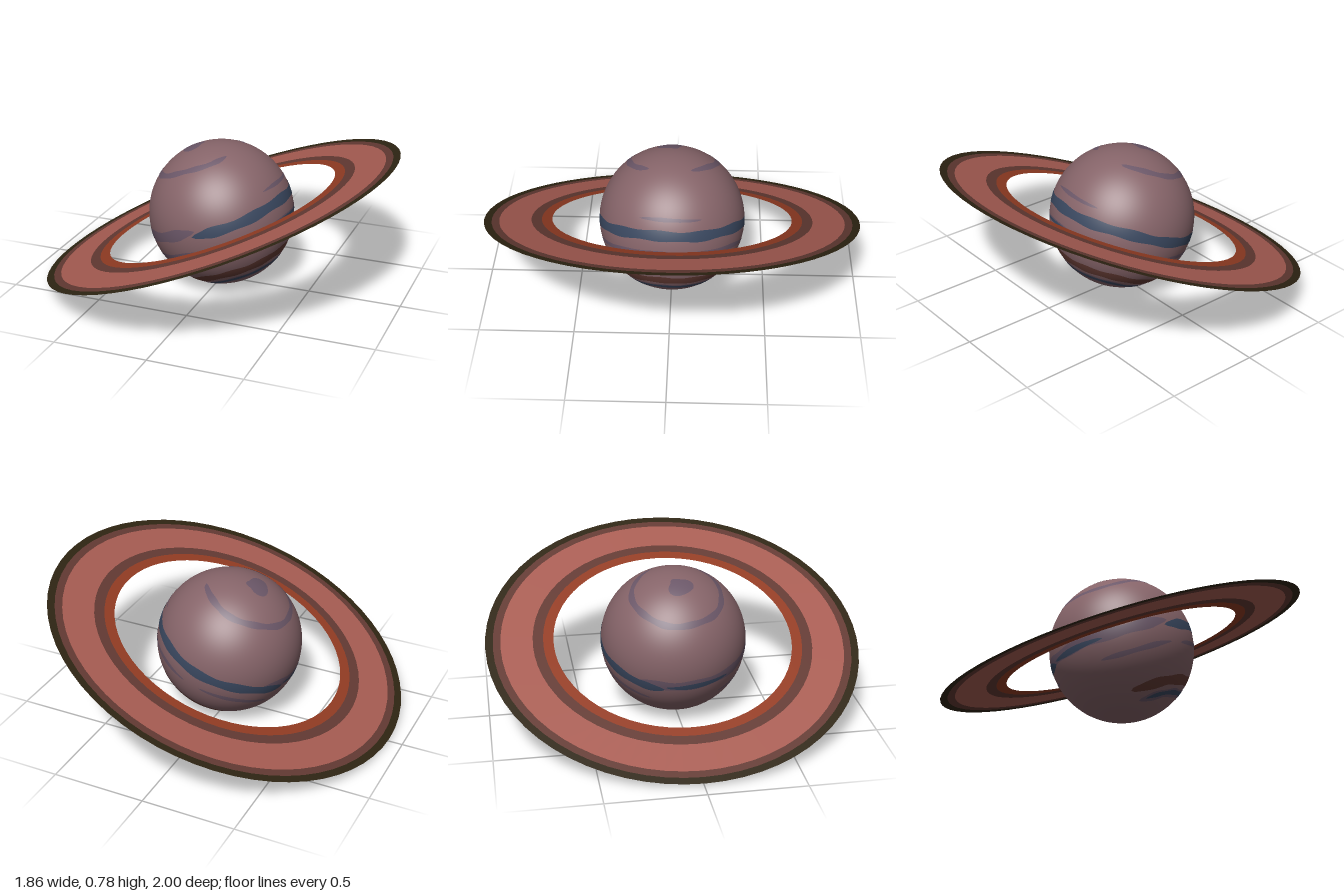
import * as THREE from 'three';

const R = 0.388;
const TILT = THREE.MathUtils.degToRad(21.5);

function material(name, color) {
  const m = new THREE.MeshStandardMaterial({ color, side: THREE.DoubleSide });
  m.name = name;
  return m;
}

// Cloud band on the sphere between two latitudes. Longitude runs from +x (0) towards +z (90),
// given from high to low. The edges waver a little and the ends taper.
function bandGeometry(latTop, latBottom, from, to, lift, edge) {
  const span = from - to;
  const geo = new THREE.PlaneGeometry(1, 1, Math.ceil(span / 3), 4);
  const pos = geo.attributes.position;
  const p = new THREE.Vector3();
  for (let i = 0; i < pos.count; i++) {
    const u = pos.getX(i) + 0.5, v = pos.getY(i) + 0.5;
    const lon = from - span * u;
    const a = THREE.MathUtils.degToRad(lon);
    let lat;
    if (edge) {
      lat = THREE.MathUtils.lerp(edge(a), latTop, v);
    } else {
      const end = Math.min(from - lon, lon - to);
      const taper = span >= 360 ? 1 : Math.sqrt(Math.min(1, end / 16));
      const mid = (latTop + latBottom) / 2 + 0.5 * Math.sin(a * 5);
      const half = (latTop - latBottom) / 2 * taper * (1 + 0.12 * Math.sin(a * 11));
      lat = mid + half * (2 * v - 1);
    }
    const t = THREE.MathUtils.degToRad(lat);
    p.set(Math.cos(t) * Math.cos(a), Math.sin(t), Math.cos(t) * Math.sin(a));
    geo.attributes.normal.setXYZ(i, p.x, p.y, p.z);
    p.multiplyScalar(R + lift);
    pos.setXYZ(i, p.x, p.y, p.z);
  }
  return geo;
}

export function createModel() {
  const mauve = material('mauve', 0x866469);
  const purple = material('dusty purple', 0x6b5768);
  const blue = material('slate blue', 0x3a4860);
  const brown = material('dark brown', 0x633a33);
  const salmon = material('salmon', 0xa85d53);
  const rust = material('rust', 0x933c23);
  const olive = material('dark olive', 0x2f2513);

  const model = new THREE.Group();
  model.name = 'ringedPlanet';
  const tilted = new THREE.Group();
  tilted.name = 'tiltedPlanet';
  tilted.position.y = R;
  tilted.rotation.z = TILT;
  model.add(tilted);

  const add = (name, geo, mat) => {
    const mesh = new THREE.Mesh(geo, mat);
    mesh.name = name;
    tilted.add(mesh);
  };

  // Globe
  add('globe', new THREE.SphereGeometry(R, 96, 64), mauve);

  // Cloud bands: name, top and bottom latitude, longitude from and to, material, lift
  const bands = [
    ['northArc', 55.5, 50.5, 335, 30, purple, 0.001],
    ['upperStreak', 14.5, 11.5, 25, -25, purple, 0.001],
    ['equatorHaze', 8.5, 0, 215, 88, purple, 0.001],
    ['equatorBand', 4.5, -3.5, 92, -165, blue, 0.0015],
    ['equatorBandEnd', 5, 0.5, 195, 143, blue, 0.0015],
    ['lowerStreak', -12, -16, 78, -82, purple, 0.001],
    ['lowerStreakCore', -13, -15.5, 38, -38, blue, 0.0015],
    ['lowerStreakFront', -11, -15, 150, 88, purple, 0.001],
    ['lowerStreakBack', -11, -15, 265, 205, purple, 0.001],
    ['southBand', -39, -47.5, 135, -130, brown, 0.001],
    ['southHaze', -51, -59, 130, -120, purple, 0.001],
    ['southRing', -52.5, -56.5, 120, -110, blue, 0.0015],
  ];
  for (const [name, top, bottom, from, to, mat, lift] of bands) {
    add(name, bandGeometry(top, bottom, from, to, lift), mat);
  }

  // Uneven spot at the north pole
  add('polarSpot', bandGeometry(90, 80, 360, 0, 0.001,
    a => 81 - 3.5 * Math.cos(a - 2.6) + 1.2 * Math.sin(3 * a)), purple);

  // Flat rings, from the inside out
  const radii = [0.64, 0.695, 0.75, 0.92, 0.96, 1];
  const rings = [['innerRing', rust], ['innerGapRing', brown], ['mainRing', salmon],
    ['outerGapRing', brown], ['outerRing', olive]];
  rings.forEach(([name, mat], i) => {
    add(name, new THREE.RingGeometry(radii[i], radii[i + 1], 64).rotateX(-Math.PI / 2), mat);
  });

  return model;
}
